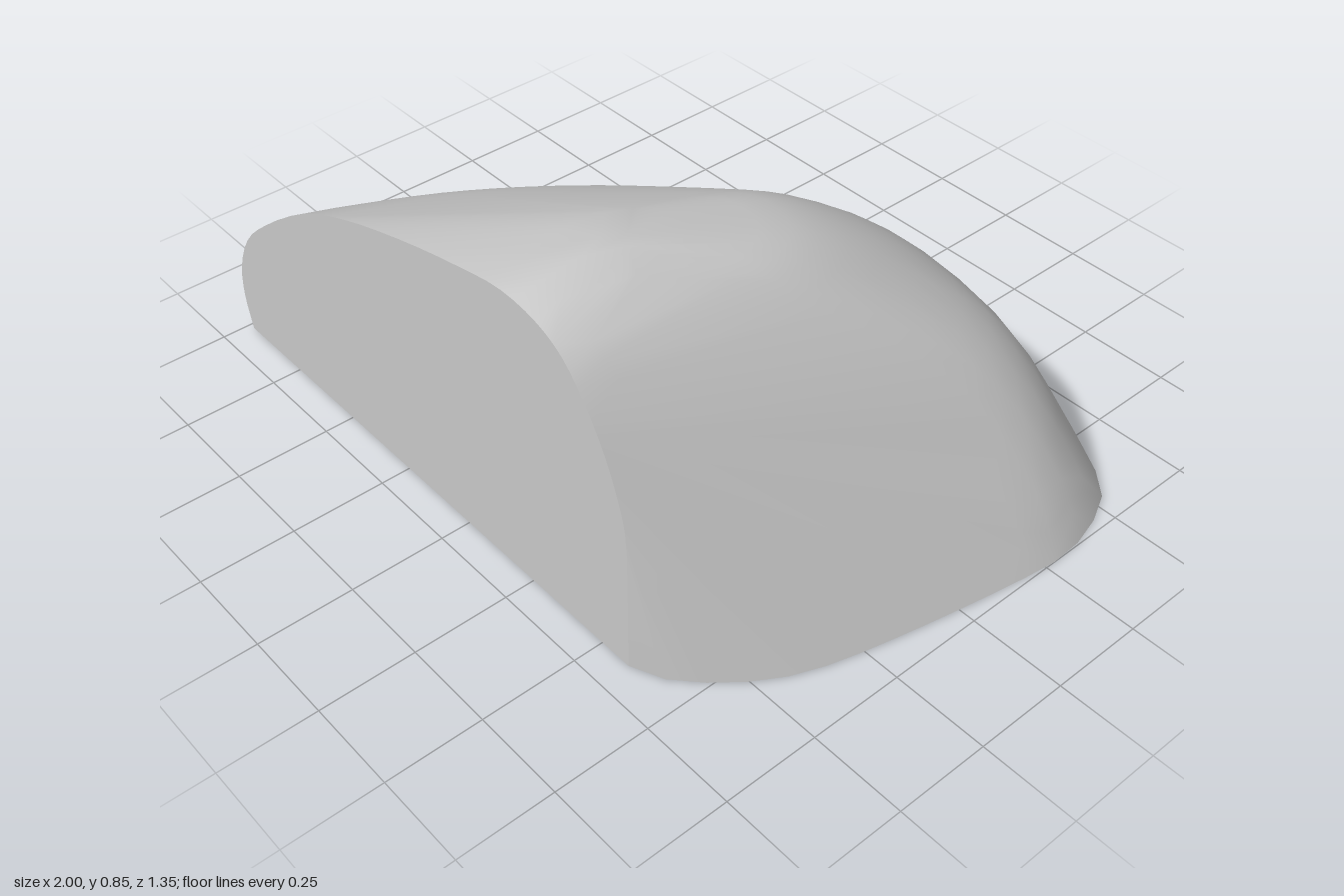
import * as THREE from 'three';
import { ConvexGeometry } from 'three/addons/geometries/ConvexGeometry.js';
import { toCreasedNormals } from 'three/addons/utils/BufferGeometryUtils.js';

const FRONT = 0.67;

// Smooth horizontal contour at height y, from the left front edge around the back.
function contour(y, ...xz) {
  const pts = [];
  for (let i = 0; i < xz.length; i += 2) pts.push(new THREE.Vector3(xz[i], y, xz[i + 1]));
  return new THREE.CatmullRomCurve3(pts, false, 'centripetal').getSpacedPoints(44);
}

export function createModel() {
  const group = new THREE.Group();
  const stone = new THREE.MeshStandardMaterial({ color: 0xc8c8c8 });
  stone.name = 'pale grey stone';

  // Height contours of the boulder
  const base = contour(0, -0.98, 0.67, -0.775, 0.28, -0.55, -0.08, -0.31, -0.4, -0.14, -0.54, 0.02, -0.62,
    0.2, -0.67, 0.35, -0.675, 0.55, -0.665, 0.83, -0.61, 0.92, -0.55, 0.97, -0.46, 1, -0.33, 0.99, -0.2,
    0.88, 0.33, 0.83, 0.45, 0.75, 0.56, 0.67, 0.635, 0.59, 0.67);
  const girth = contour(0.12, -1, 0.67, -0.815, 0.27, -0.55, -0.12, -0.28, -0.4, -0.12, -0.52, 0.05, -0.595,
    0.22, -0.635, 0.37, -0.64, 0.56, -0.625, 0.78, -0.57, 0.88, -0.49, 0.93, -0.39, 0.935, -0.27,
    0.837, 0.2, 0.78, 0.4, 0.59, 0.67);
  const middle = contour(0.4, -0.85, 0.67, -0.65, 0.26, -0.39, -0.09, -0.12, -0.33, 0.1, -0.45, 0.3, -0.495,
    0.5, -0.49, 0.66, -0.44, 0.75, -0.34, 0.768, -0.25, 0.675, 0.2, 0.635, 0.4, 0.59, 0.67);
  const shoulder = contour(0.6, -0.56, 0.67, -0.365, 0.3, -0.13, 0, 0.08, -0.19, 0.3, -0.3,
    0.47, -0.28, 0.58, -0.16, 0.61, -0.04, 0.58, 0.1, 0.54, 0.4, 0.52, 0.67);
  const brow = contour(0.75, -0.12, 0.67, 0, 0.35, 0.11, 0.1, 0.25, -0.05, 0.39, -0.03,
    0.46, 0.08, 0.445, 0.35, 0.42, 0.67);
  const crown = contour(0.82, 0.16, 0.64, 0.12, 0.4, 0.2, 0.24, 0.31, 0.24, 0.35, 0.4, 0.3, 0.64);
  const levels = [base, girth, middle, shoulder, brow, crown];

  // Blend the contours upward into a rounded surface
  const points = [...base];
  for (let i = 0; i < base.length; i++) {
    const rib = new THREE.CatmullRomCurve3(levels.map((l) => l[i]), false, 'centripetal');
    for (const p of rib.getPoints(18).slice(1)) {
      p.z = Math.min(p.z, FRONT - 0.003);
      // Keep ribs near the cut from bulging outside its outline
      if (i > 1 && i < base.length - 2) points.push(p);
    }
  }

  // Rounded peak
  for (const [x, y, z] of [[0.22, 0.846, 0.42], [0.29, 0.847, 0.4], [0.26, 0.85, 0.38], [0.25, 0.845, 0.5], [0.25, 0.833, 0.6]]) {
    points.push(new THREE.Vector3(x, y, z));
  }

  // Outline of the flat front cut
  const outline = [[-0.98, 0], [-1, 0.1], [-0.99, 0.2], [-0.93, 0.32], [-0.82, 0.425], [-0.6, 0.58], [-0.42, 0.66],
    [-0.18, 0.735], [0.05, 0.79], [0.2, 0.815], [0.32, 0.8], [0.4, 0.76], [0.47, 0.68], [0.53, 0.58],
    [0.57, 0.48], [0.59, 0.4], [0.593, 0.2], [0.59, 0]].map(([x, y]) => new THREE.Vector3(x, y, FRONT));
  points.push(...new THREE.CatmullRomCurve3(outline, false, 'centripetal').getPoints(51));

  const boulder = new THREE.Mesh(toCreasedNormals(new ConvexGeometry(points), 0.4), stone);
  boulder.name = 'boulder';
  group.add(boulder);
  return group;
}
